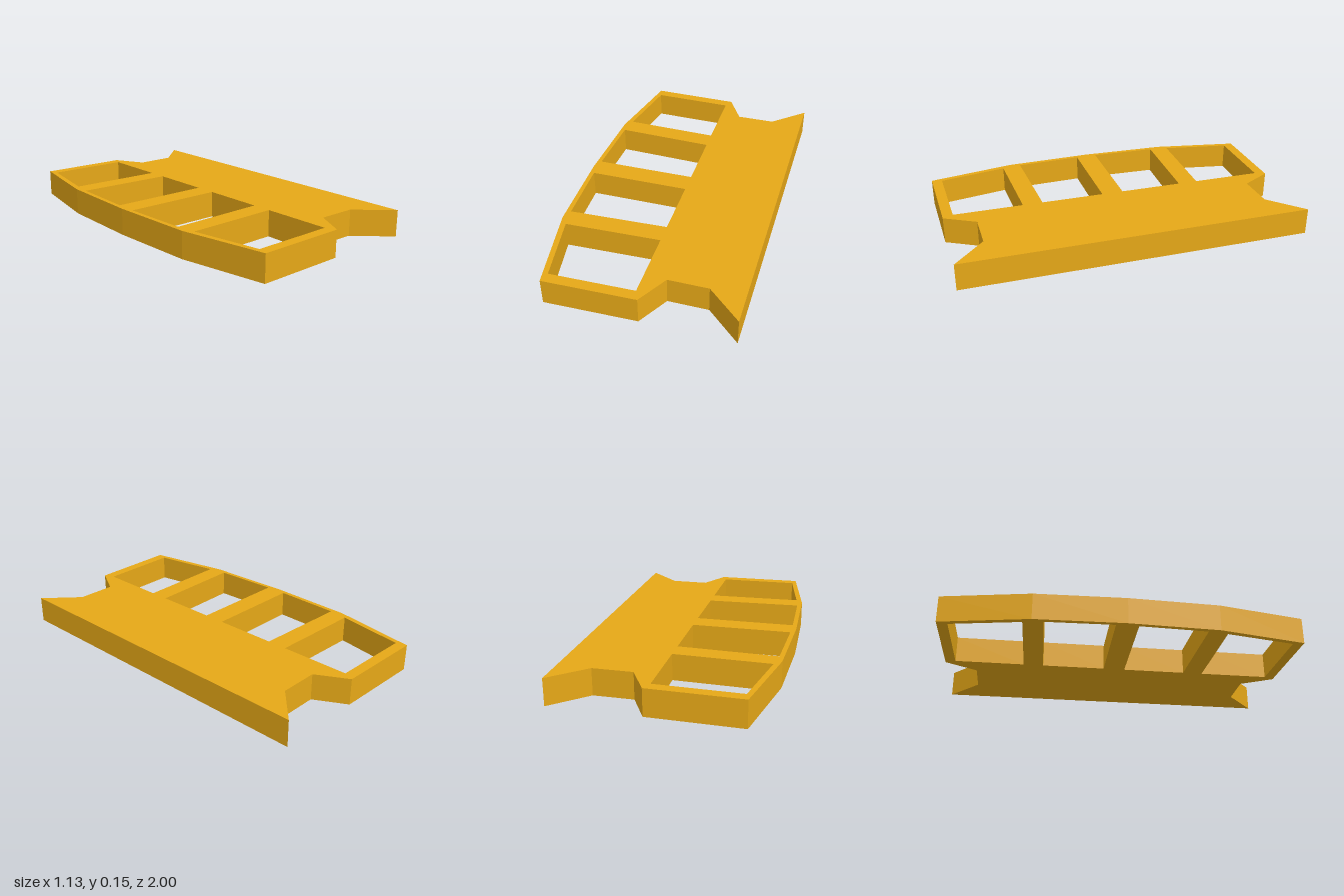
import * as THREE from 'three';

const HEIGHT = 0.151;

// Flip points across z = 0
const mirror = (pts) => pts.map(([x, z]) => [x, -z]).reverse();
const vectors = (pts) => pts.map(([x, z]) => new THREE.Vector2(x, z));

export function createModel() {
  const gold = new THREE.MeshStandardMaterial({ color: 0xe6a817 });
  gold.name = 'gold';

  // Half of the outline, from the straight edge round to the bowed edge
  const half = [
    [0.566, 0.987], [0.378, 0.813], [0.155, 0.813],
    [0.058, 0.988], [-0.455, 1], [-0.549, 0.505],
  ];
  const plate = new THREE.Shape(vectors([...half, [-0.566, 0], ...mirror(half)]));

  // Windows between the ribs, mirrored to both ends
  const windows = [
    [[-0.437, 0.941], [0.032, 0.93], [0.032, 0.535], [-0.509, 0.552]],
    [[-0.525, 0.442], [0.032, 0.421], [0.032, 0.062], [-0.539, 0.062]],
  ];
  for (const w of windows) {
    plate.holes.push(new THREE.Path(vectors(w)), new THREE.Path(vectors(mirror(w))));
  }

  // Flat plate lying on the ground
  const geometry = new THREE.ExtrudeGeometry(plate, { depth: HEIGHT, bevelEnabled: false });
  geometry.rotateX(Math.PI / 2).translate(0, HEIGHT, 0);
  const mesh = new THREE.Mesh(geometry, gold);
  mesh.name = 'ribbedPlate';

  const model = new THREE.Group();
  model.name = 'model';
  model.add(mesh);
  return model;
}
